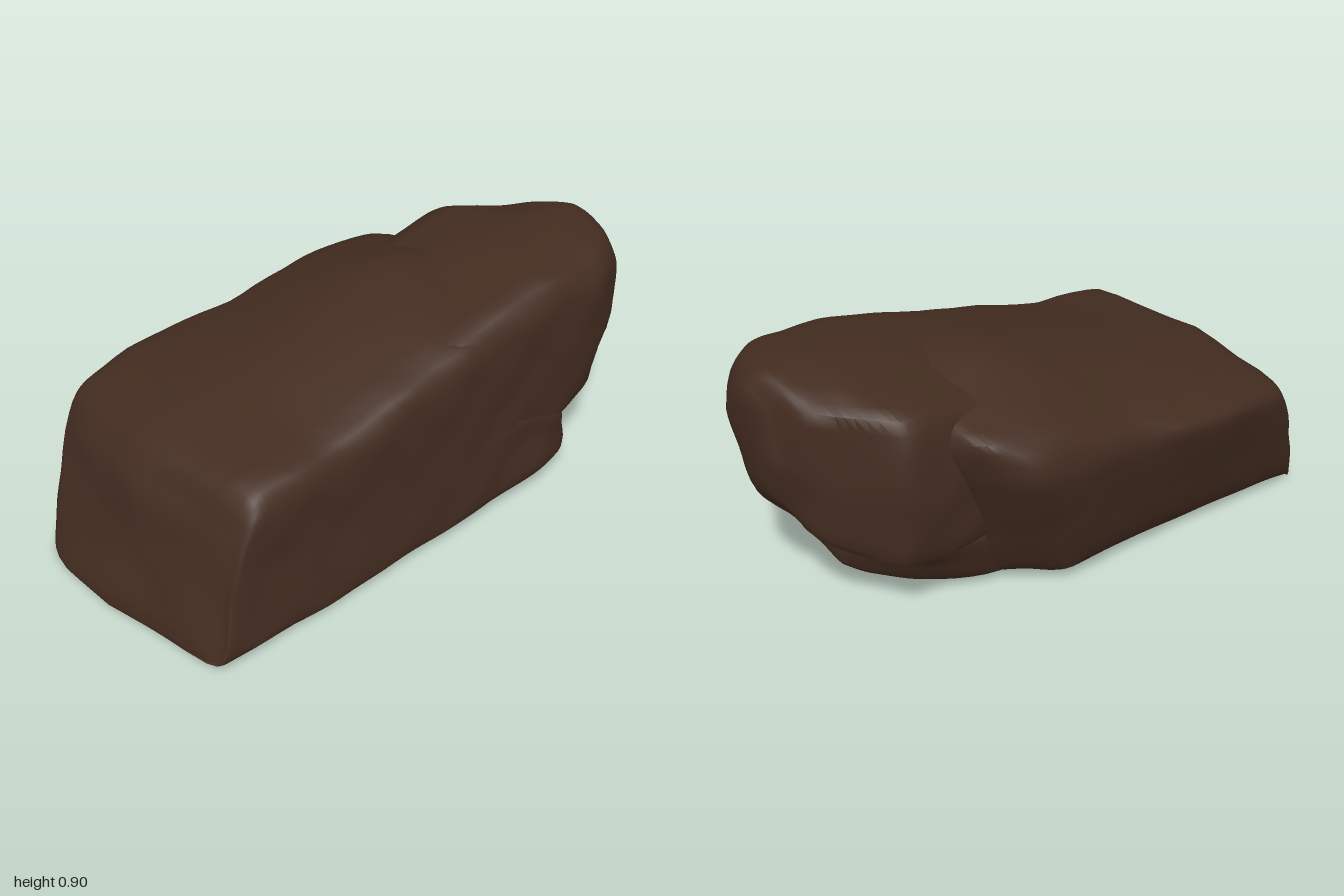
import * as THREE from 'three';
import { toCreasedNormals, mergeVertices } from 'three/addons/utils/BufferGeometryUtils.js';

const SIDE = 4, STEP = 5; // subdivisions around and along each loft

// One cross-section, counter-clockwise seen from the front
function ring({ z, lean = 0, bow = 0, bl, br = 0.5, r = 0.49, L, TL, T, TR, yB = 0.01, yBL = yB, tx = 0 }) {
  const pts = [
    [bl, yBL], [bl * 0.7 + br * 0.3, yB], [br - 0.05, yB + 0.01], [br, yB + 0.06], [r, (yB + TR) / 2],
    [r, TR - 0.09], [r - 0.07, TR], [tx, T], TL, L, [(bl + L[0]) / 2 - 0.01, (yBL + L[1]) / 2],
  ];
  return pts.map(([x, y]) => new THREE.Vector3(x, y, z - lean * y - bow * Math.abs(x + 0.1)));
}

// Gentle uneven surface
function roughen(p) {
  const a = Math.sin(p.x * 13 + p.y * 9) * Math.sin(p.z * 11 + p.y * 7);
  const b = Math.sin(p.z * 23 + p.x * 17 + 1) * Math.sin(p.y * 21 + 2);
  p.x += 0.006 * b;
  p.y += 0.005 * a;
  p.z += 0.006 * Math.sin(p.x * 19 + p.y * 15);
  p.y = Math.max(p.y, 0);
  return p;
}

// Skin through cross-sections (front to back), closed by shallow domed caps
function loft(sections, domeFront, domeBack) {
  const n = sections[0].length, around = n * SIDE, rows = [];
  const curves = sections[0].map((_, i) =>
    new THREE.CatmullRomCurve3(sections.map((s) => s[i]), false, 'catmullrom', 0.4));
  const steps = (sections.length - 1) * STEP;
  for (let s = 0; s <= steps; s++) {
    const loop = new THREE.CatmullRomCurve3(curves.map((c) => c.getPoint(s / steps)), true, 'catmullrom', 0.3);
    rows.push(Array.from({ length: around }, (_, i) => loop.getPoint(i / around)));
  }
  const cap = (row, dome) => {
    const mid = row.reduce((m, p) => m.add(p), new THREE.Vector3()).divideScalar(around);
    return [0.93, 0.7, 0.4, 0].map((k) => row.map((p) => {
      const q = mid.clone().lerp(p, k);
      q.z += dome * Math.sqrt(1 - k * k);
      return q;
    }));
  };
  const all = [...cap(rows[0], domeFront).reverse(), ...rows, ...cap(rows[rows.length - 1], -domeBack)];
  const pos = all.flat().flatMap((p) => roughen(p).toArray()), index = [];
  for (let j = 0; j < all.length - 1; j++) {
    for (let i = 0; i < around; i++) {
      const k = (i + 1) % around, a = j * around, b = a + around;
      if (j > 0) index.push(a + i, b + i, a + k);
      if (j < all.length - 2) index.push(a + k, b + i, b + k);
    }
  }
  const g = new THREE.BufferGeometry();
  g.setAttribute('position', new THREE.Float32BufferAttribute(pos, 3));
  g.setIndex(index);
  return toCreasedNormals(mergeVertices(g, 1e-5), 0.75);
}

export function createModel() {
  const group = new THREE.Group();
  group.name = 'boulder';
  const stone = new THREE.MeshStandardMaterial({ color: 0x432c20 });
  stone.name = 'dark brown stone';
  const add = (name, sections, front, back) => {
    const mesh = new THREE.Mesh(loft(sections.map(ring), front, back), stone);
    mesh.name = name;
    group.add(mesh);
  };

  // Long main slab rising toward the back, its rear-left corner undercut
  add('mainSlab', [
    { z: 1.01, lean: 0.32, bow: 0.18, bl: -0.33, r: 0.46, L: [-0.42, 0.36], TL: [-0.36, 0.43], T: 0.48, TR: 0.45, tx: -0.05 },
    { z: 0.97, lean: 0.33, bow: 0.12, bl: -0.34, br: 0.52, L: [-0.47, 0.44], TL: [-0.41, 0.51], T: 0.56, TR: 0.54, yBL: 0.03 },
    { z: 0.72, lean: 0.1, bl: -0.34, br: 0.52, L: [-0.49, 0.48], TL: [-0.43, 0.55], T: 0.605, TR: 0.59, yBL: 0.04 },
    { z: 0.4, bl: -0.32, br: 0.515, L: [-0.52, 0.53], TL: [-0.45, 0.58], T: 0.665, TR: 0.625, yBL: 0.045 },
    { z: 0.1, bl: -0.32, br: 0.505, L: [-0.48, 0.52], TL: [-0.43, 0.61], T: 0.75, TR: 0.7, yB: 0.02, yBL: 0.05 },
    { z: -0.08, lean: 0.15, bl: -0.32, L: [-0.475, 0.54], TL: [-0.42, 0.665], T: 0.83, TR: 0.765, yB: 0.025, yBL: 0.05, tx: -0.01 },
    { z: -0.14, lean: 0.34, bl: -0.29, L: [-0.46, 0.54], TL: [-0.4, 0.68], T: 0.81, TR: 0.77, yB: 0.03, yBL: 0.05 },
    { z: -0.2, lean: 0.41, bl: -0.23, L: [-0.39, 0.53], TL: [-0.34, 0.695], T: 0.77, TR: 0.74, yB: 0.035, yBL: 0.05 },
    { z: -0.27, lean: 0.41, bl: -0.16, L: [-0.27, 0.5], TL: [-0.23, 0.66], T: 0.74, TR: 0.7, yB: 0.04 },
  ], 0.03, 0.01);

  // Upper block overhanging at the back, blending forward along the right edge
  add('backBlock', [
    { z: 0.0, bl: -0.1, br: 0.45, r: 0.47, L: [-0.15, 0.5], TL: [-0.1, 0.63], T: 0.71, TR: 0.715, yB: 0.27, tx: 0.18 },
    { z: -0.2, bl: -0.2, br: 0.47, r: 0.485, L: [-0.2, 0.5], TL: [-0.15, 0.69], T: 0.775, TR: 0.775, yB: 0.27, tx: 0.16 },
    { z: -0.37, bl: -0.22, br: 0.48, r: 0.49, L: [-0.25, 0.55], TL: [-0.2, 0.75], T: 0.82, TR: 0.82, yB: 0.25, tx: 0.15 },
    { z: -0.56, bl: -0.22, br: 0.49, r: 0.495, L: [-0.26, 0.55], TL: [-0.21, 0.78], T: 0.86, TR: 0.86, yB: 0.25, tx: 0.15 },
    { z: -0.7, bl: -0.2, br: 0.48, r: 0.5, L: [-0.25, 0.55], TL: [-0.2, 0.79], T: 0.88, TR: 0.87, yB: 0.26, tx: 0.15 },
    { z: -0.81, bl: -0.06, br: 0.45, r: 0.485, L: [-0.11, 0.56], TL: [-0.08, 0.8], T: 0.895, TR: 0.875, yB: 0.29, tx: 0.17 },
    { z: -0.87, lean: 0.06, bl: 0.03, br: 0.39, r: 0.43, L: [-0.01, 0.58], TL: [0.02, 0.81], T: 0.895, TR: 0.865, yB: 0.35, tx: 0.18 },
    { z: -0.9, lean: 0.09, bl: 0.12, br: 0.33, r: 0.36, L: [0.08, 0.62], TL: [0.12, 0.78], T: 0.85, TR: 0.82, yB: 0.43, tx: 0.22 },
  ], 0.01, 0.03);

  // Low foot beneath the overhang, flush with the right face
  add('rearFoot', [
    { z: -0.05, bl: -0.2, br: 0.49, r: 0.48, L: [-0.22, 0.22], TL: [-0.15, 0.38], T: 0.45, TR: 0.45, yB: 0.035, tx: 0.15 },
    { z: -0.32, bl: -0.15, br: 0.5, r: 0.49, L: [-0.22, 0.24], TL: [-0.15, 0.38], T: 0.42, TR: 0.45, yB: 0.035, tx: 0.15 },
    { z: -0.54, bl: -0.03, br: 0.5, r: 0.49, L: [-0.19, 0.24], TL: [-0.12, 0.36], T: 0.4, TR: 0.42, yB: 0.045, tx: 0.15 },
    { z: -0.64, bl: 0.08, br: 0.485, r: 0.48, L: [-0.11, 0.24], TL: [-0.05, 0.34], T: 0.37, TR: 0.38, yB: 0.055, tx: 0.15 },
    { z: -0.685, bl: 0.16, br: 0.45, r: 0.44, L: [0.02, 0.22], TL: [0.06, 0.31], T: 0.33, TR: 0.33, yB: 0.07, tx: 0.2 },
  ], 0.01, 0.012);

  return group;
}
